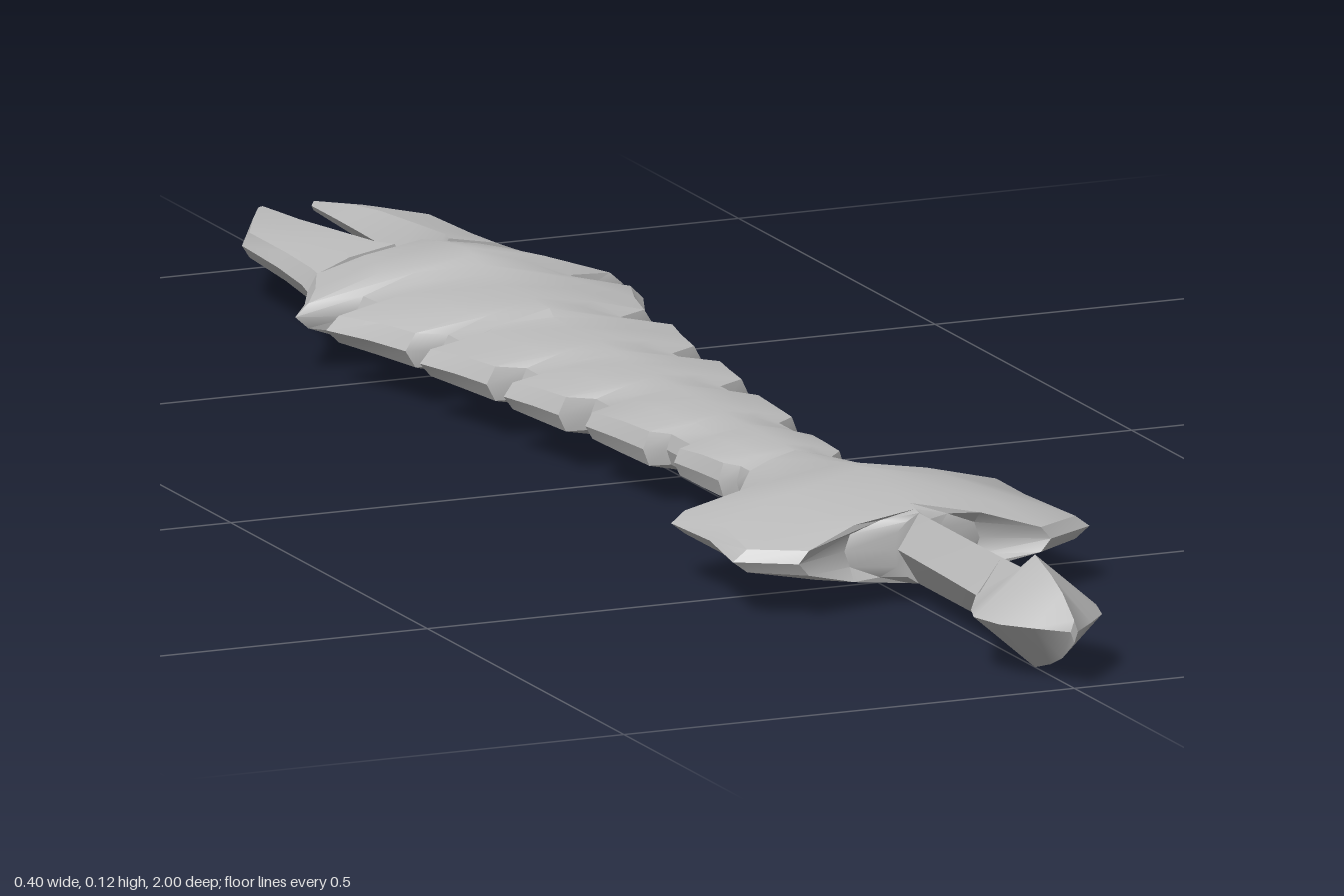
import * as THREE from 'three';
import { toCreasedNormals } from 'three/addons/utils/BufferGeometryUtils.js';

const MID_Y = 0.06; // height of the sword's middle plane

// Skin a list of equal-length rings, ordered from -z to +z, and cap both ends.
function loft(rings, crease) {
  const n = rings[0].length;
  const last = (rings.length - 1) * n;
  const index = [];
  for (let i = 0; i < rings.length - 1; i++) {
    for (let j = 0; j < n; j++) {
      const k = (j + 1) % n;
      const a = i * n + j, b = i * n + k, c = b + n, d = a + n;
      index.push(a, d, c, a, c, b);
    }
  }
  for (let j = 1; j < n - 1; j++) {
    index.push(0, j, j + 1, last, last + j + 1, last + j);
  }
  const geometry = new THREE.BufferGeometry();
  geometry.setAttribute('position', new THREE.Float32BufferAttribute(rings.flat(2), 3));
  geometry.setIndex(index);
  return toCreasedNormals(geometry, crease);
}

// Symmetric section: a central ridge falling to a bevelled rim.
// station = [ridge z, ridge height, edge x, edge z, rim height]
function section([zc, h, x, z, rim]) {
  const quarter = [
    [0, h, zc],
    [x * 0.5, rim + (h - rim) * 0.58, (zc + z) / 2],
    [x * 0.92, rim, z],
  ];
  const lower = quarter.map(([px, py, pz]) => [px, -py, pz]).reverse();
  const right = [...quarter, [x, 0, z], ...lower];
  const left = right.slice(1, -1).reverse().map(([px, py, pz]) => [-px, py, pz]);
  return [...right, ...left];
}

// Four-sided section used by the grip and pommel.
const diamond = ([z, x, h]) => [[0, h, z], [x, 0, z], [0, -h, z], [-x, 0, z]];

// One prong section: [z, inner x, outer x, height beside the slot, outer rim height]
function prongSection([z, xi, xo, h, rim], side) {
  const w = xo - xi;
  const top = [
    [xi + Math.min(0.02, w * 0.3), h, z],
    [xi + w * 0.6, rim + (h - rim) * 0.6, z],
    [xo - w * 0.1, rim, z],
  ];
  const bottom = top.map(([x, y, pz]) => [x, -y, pz]).reverse();
  const ring = [[xi, 0, z], ...top, [xo, 0, z], ...bottom];
  return side > 0 ? ring : ring.map(([x, y, pz]) => [-x, y, pz]).reverse();
}

export function createModel() {
  const group = new THREE.Group();
  const metal = new THREE.MeshStandardMaterial({ color: 0xbbbbbb });
  metal.name = 'greyMetal';

  const add = (name, rings, crease = 0.6) => {
    const mesh = new THREE.Mesh(loft(rings, crease), metal);
    mesh.name = name;
    mesh.position.y = MID_Y;
    group.add(mesh);
  };

  // Blade: a flared head, then barbs that shrink towards the guard
  const blade = [
    [-0.66, 0.043, 0.127, -0.66, 0.018],
    [-0.61, 0.052, 0.152, -0.61, 0.016],
    [-0.55, 0.059, 0.182, -0.565, 0.013],
    [-0.53, 0.056, 0.125, -0.545, 0.02],
    [-0.51, 0.05, 0.122, -0.515, 0.02],
  ];
  // barb = [start z, end z, front width, rear width, notch width, ridge height]
  const barbs = [
    [-0.5, -0.385, 0.176, 0.138, 0.104, 0.043],
    [-0.33, -0.22, 0.146, 0.12, 0.088, 0.036],
    [-0.165, -0.07, 0.125, 0.106, 0.075, 0.033],
    [-0.015, 0.1, 0.1, 0.086, 0.065, 0.032],
    [0.165, 0.255, 0.08, 0.07, 0.055, 0.032],
  ];
  barbs.forEach(([z0, z1, w0, w1, notch, h], i) => {
    const mid = (z0 + z1) / 2;
    const next = i < barbs.length - 1 ? barbs[i + 1][0] : 0.295;
    blade.push(
      [z0 + 0.006, h, w0, z0, 0.014],
      [mid, h, w0 * 0.4 + w1 * 0.6, mid, 0.017],
      [z1, h, w1, z1, 0.018],
      [z1 + 0.012, h, notch, z1 + 0.012, 0.016],
      [next - 0.005, h, notch, next - 0.005, 0.016],
    );
  });
  add('blade', blade.map(section));

  // Forked tip
  const prong = [
    [-1, 0.026, 0.034, 0.005, 0.004],
    [-0.935, 0.026, 0.072, 0.015, 0.01],
    [-0.87, 0.025, 0.108, 0.022, 0.013],
    [-0.77, 0.022, 0.112, 0.031, 0.015],
    [-0.69, 0.019, 0.12, 0.038, 0.017],
    [-0.66, 0.01, 0.127, 0.041, 0.018],
  ];
  add('leftProng', prong.map((s) => prongSection(s, 1)));
  add('rightProng', prong.map((s) => prongSection(s, -1)));

  // Winged guard
  add('guard', [
    [0.29, 0.033, 0.055, 0.29, 0.016],
    [0.36, 0.038, 0.1, 0.36, 0.015],
    [0.41, 0.046, 0.188, 0.405, 0.012],
    [0.47, 0.055, 0.182, 0.49, 0.015],
    [0.55, 0.046, 0.198, 0.585, 0.012],
    [0.58, 0.042, 0.14, 0.62, 0.013],
    [0.595, 0.039, 0.075, 0.587, 0.017],
    [0.605, 0.037, 0.025, 0.602, 0.018],
  ].map(section));

  // Grip and pommel
  add('grip', [
    [0.59, 0.022, 0.037],
    [0.72, 0.025, 0.037],
    [0.815, 0.028, 0.037],
  ].map(diamond));
  add('pommel', [
    [0.81, 0.026, 0.037],
    [0.87, 0.058, 0.038],
    [0.9, 0.068, 0.059],
    [0.94, 0.057, 0.047],
    [0.97, 0.032, 0.034],
    [1, 0.004, 0.012],
  ].map(diamond));

  return group;
}
